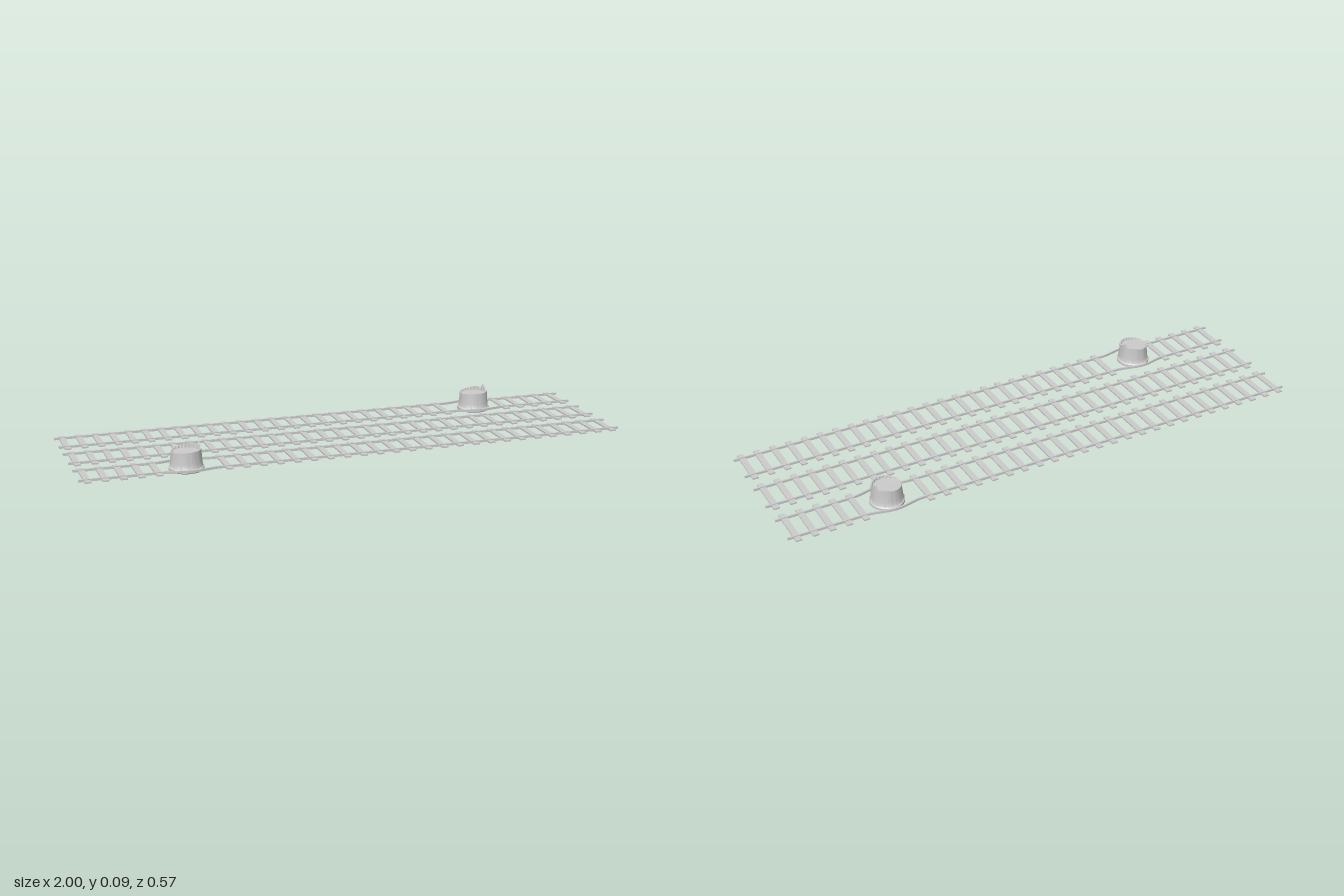
import * as THREE from 'three';
import { toCreasedNormals } from 'three/addons/utils/BufferGeometryUtils.js';

const material = new THREE.MeshStandardMaterial({ color: 0xcccccc });
const TIES = 33, PITCH = 0.0606, GAUGE = 0.0565;

function add(parent, name, geometry, x, y, z) {
  const mesh = new THREE.Mesh(geometry, material);
  mesh.name = name;
  mesh.position.set(x, y, z);
  parent.add(mesh);
  return mesh;
}

// Rail that swells outwards in a smooth bump around bendX
function railGeometry(side, bendX) {
  const geo = new THREE.BoxGeometry(2, 0.0085, 0.006, bendX === null ? 1 : 120, 1, 1);
  if (bendX === null) return geo;
  const p = geo.attributes.position;
  for (let i = 0; i < p.count; i++) {
    const d = Math.min(Math.abs(p.getX(i) - bendX) / 0.11, 1);
    p.setZ(i, p.getZ(i) + side * 0.009 * (1 + Math.cos(Math.PI * d)));
  }
  return toCreasedNormals(geo, 0.6);
}

// Height of the broken rim: flat, with one tall splinter and a low bump on the +x side
const RIM = [[-1.57, 0.073], [-1.2, 0.077], [-0.88, 0.079], [-0.55, 0.075], [-0.35, 0.092],
  [-0.1, 0.082], [0.14, 0.074], [1.57, 0.073], [3.14, 0.067], [4.713, 0.073]];
function rimHeight(angle) {
  const a = angle < -1.57 ? angle + Math.PI * 2 : angle;
  for (let i = 1; i < RIM.length; i++) {
    const [a0, h0] = RIM[i - 1], [a1, h1] = RIM[i];
    if (a <= a1) return h0 + (h1 - h0) * (a - a0) / (a1 - a0);
  }
  return 0.073;
}

// Flared hollow-topped stump on a round foot
function stumpGeometry() {
  const profile = [[0, 0], [0.058, 0], [0.0615, 0.003], [0.0615, 0.011], [0.059, 0.014],
    [0.0575, 0.0145], [0.0555, 0.03], [0.0535, 0.05], [0.0525, 0.073],
    [0.048, 0.073], [0.046, 0.064], [0, 0.064]];
  const geo = new THREE.LatheGeometry(profile.map(([r, y]) => new THREE.Vector2(r, y)), 96);
  const p = geo.attributes.position;
  for (let i = 0; i < p.count; i++) {
    const row = i % profile.length;
    const angle = Math.atan2(p.getZ(i), p.getX(i));
    if (row === 8 || row === 9) p.setY(i, rimHeight(angle));
    // Toothed inner edge
    if (row === 9 || row === 10) {
      const s = 1 + 0.035 * Math.cos(angle * 24);
      p.setX(i, p.getX(i) * s);
      p.setZ(i, p.getZ(i) * s);
    }
  }
  return toCreasedNormals(geo, 0.6);
}

// One track, with an optional gap in the ties and a bend in the rails
function track(name, z, bendX, gap) {
  const group = new THREE.Group();
  group.name = name;
  group.position.z = z;
  const tie = new THREE.BoxGeometry(0.022, 0.0055, 0.162);
  for (let i = 0; i < TIES; i++) {
    if (gap !== null && Math.abs(i - gap) <= 1) continue;
    add(group, 'tie', tie, (i - (TIES - 1) / 2) * PITCH - 0.001, 0.0125, 0);
  }
  for (const side of [-1, 1]) {
    add(group, 'rail', railGeometry(side, bendX), 0, 0.0142, side * GAUGE);
  }
  return group;
}

export function createModel() {
  const model = new THREE.Group();
  model.name = 'railwayTracks';
  model.add(
    track('backTrack', -0.202, 0.615, 26),
    track('middleTrack', 0, null, null),
    track('frontTrack', 0.202, -0.62, 6),
  );
  const stump = stumpGeometry();
  add(model, 'backStump', stump, 0.617, 0, -0.202);
  add(model, 'frontStump', stump, -0.62, 0, 0.202);
  return model;
}
